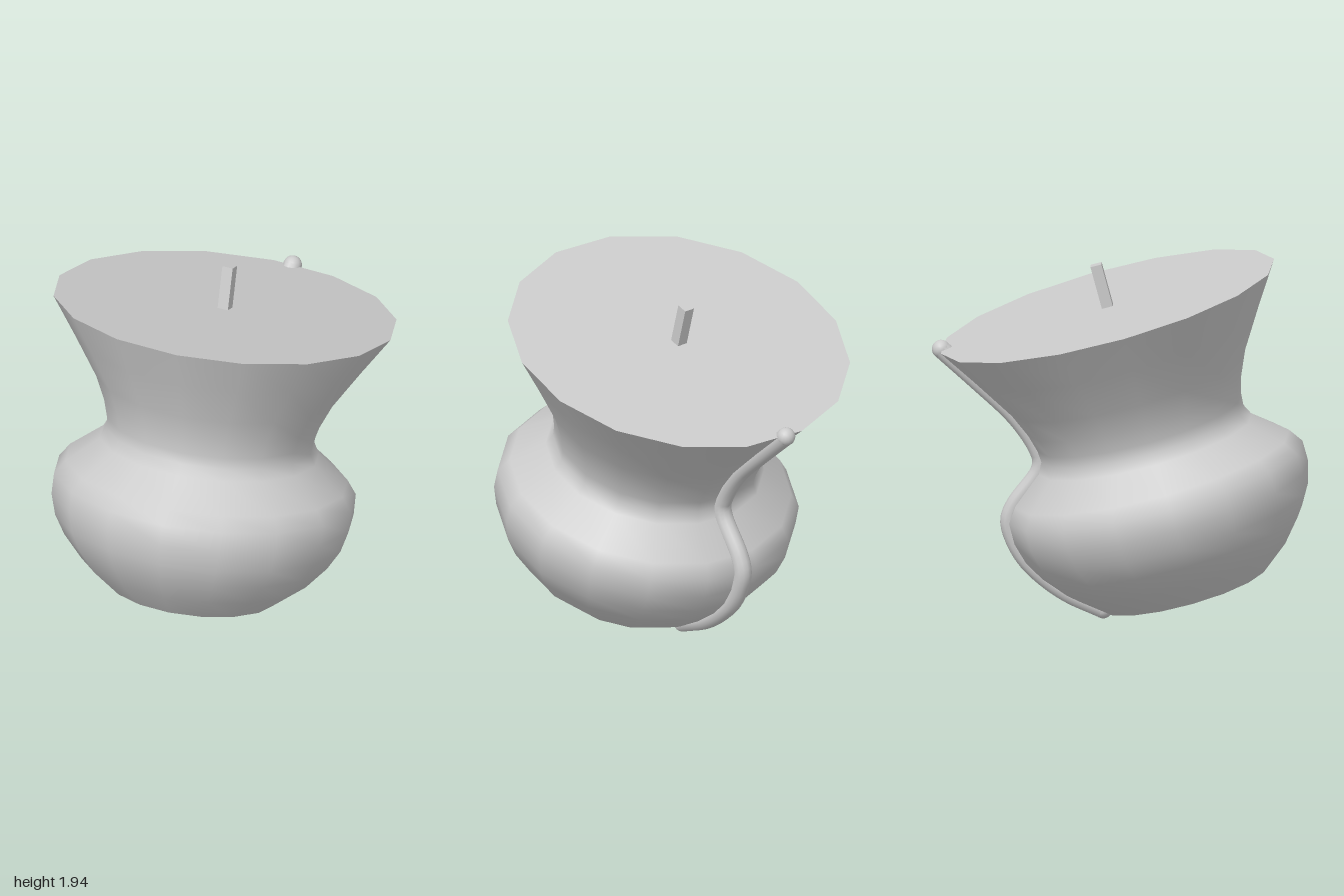
import * as THREE from 'three';

export function createModel() {
  const model = new THREE.Group();
  model.name = 'tiltedVase';
  // everything is built upright, then leaned back as one
  model.rotation.x = -THREE.MathUtils.degToRad(15);
  model.position.set(0, 0.165, 0.345);

  const material = new THREE.MeshStandardMaterial({ color: 0xcccccc });
  const add = (name, geometry, x = 0, y = 0, z = 0) => {
    const mesh = new THREE.Mesh(geometry, material);
    mesh.name = name;
    mesh.position.set(x, y, z);
    model.add(mesh);
    return mesh;
  };
  const lathe = (points) =>
    new THREE.LatheGeometry(points, 16, THREE.MathUtils.degToRad(7.5));

  // outline from foot to rim: radius, height
  const profile = [
    [0.453, 0], [0.615, 0.132], [0.72, 0.258], [0.782, 0.366], [0.814, 0.482],
    [0.813, 0.596], [0.76, 0.672], [0.59, 0.811], [0.56, 0.871], [0.564, 0.932],
    [0.59, 1.028], [0.647, 1.158], [0.785, 1.375], [0.924, 1.59],
  ].map(([r, h]) => new THREE.Vector2(r, h));
  profile[12].set(0.785, 1.378);
  const foot = profile[0];
  const rim = profile[profile.length - 1];

  // body and its two flat ends
  add('body', lathe(profile));
  add('baseCap', lathe([new THREE.Vector2(0, foot.y), foot]));
  add('topCap', lathe([rim, new THREE.Vector2(0, rim.y)]));

  // short square post at the centre of the top
  add('post', new THREE.BoxGeometry(0.06, 0.24, 0.06), 0, rim.y + 0.115, 0);

  // round cord following the outline down the back, with rounded ends
  const cordRadius = 0.05;
  const path = profile.map((p) => new THREE.Vector3(-0.01, p.y, -p.x * 0.992));
  const curve = new THREE.CatmullRomCurve3(path, false, 'centripetal');
  add('cord', new THREE.TubeGeometry(curve, 64, cordRadius, 12));
  for (const [name, p] of [['cordLowerEnd', path[0]], ['cordUpperEnd', path[path.length - 1]]]) {
    add(name, new THREE.SphereGeometry(cordRadius, 16, 12), p.x, p.y, p.z);
  }

  const root = new THREE.Group();
  root.name = 'vase';
  root.add(model);
  return root;
}
